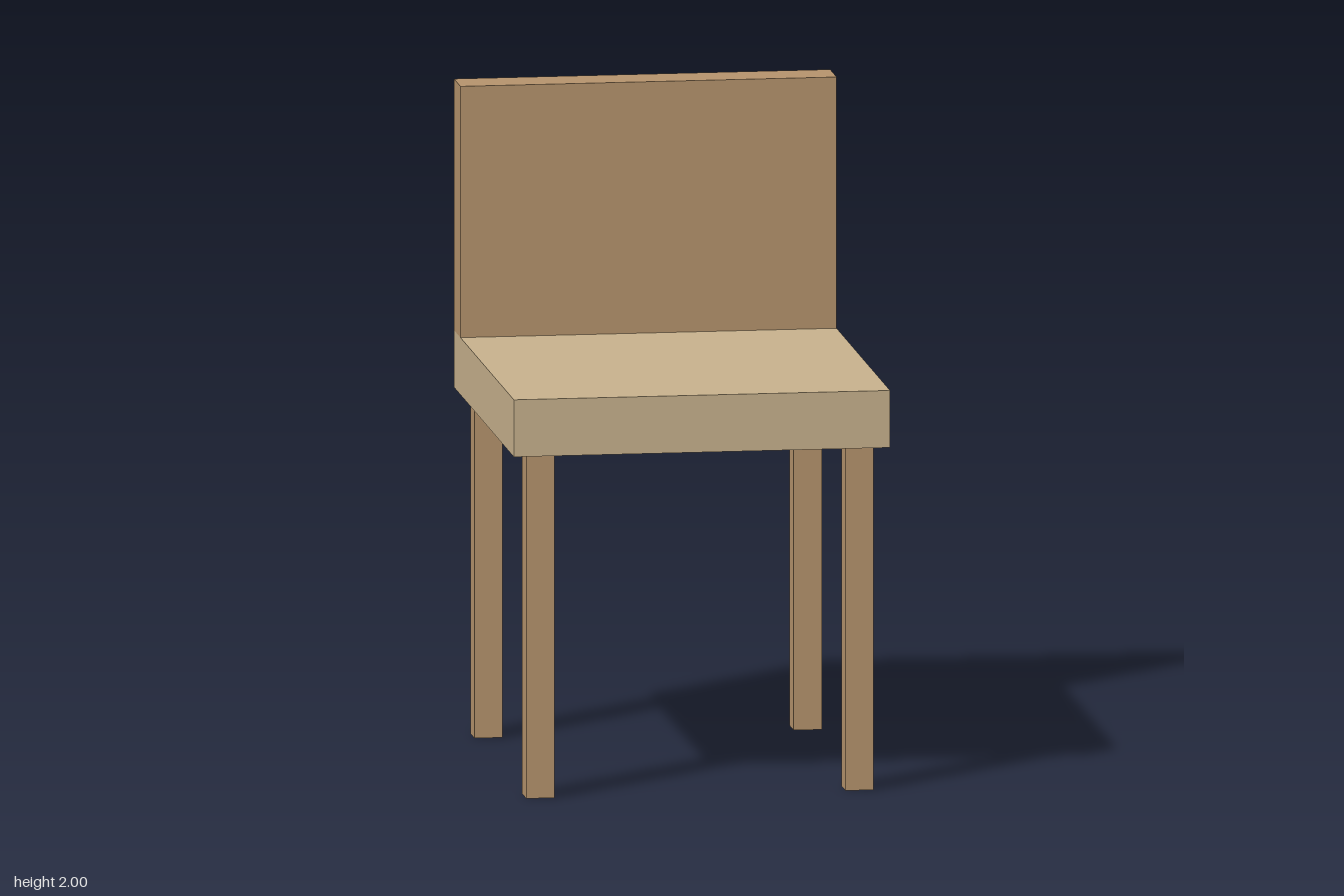
import * as THREE from 'three';

const seatMaterial = new THREE.MeshStandardMaterial({ color: 0xc8b28d });
const woodMaterial = new THREE.MeshStandardMaterial({ color: 0xb6946d });

// Box standing on height y, centred on x and z
function block(name, material, width, height, depth, x, y, z) {
  const mesh = new THREE.Mesh(new THREE.BoxGeometry(width, height, depth), material);
  mesh.name = name;
  mesh.position.set(x, y + height / 2, z);
  return mesh;
}

export function createModel() {
  const chair = new THREE.Group();
  chair.name = 'chair';

  const width = 1.148, depth = 1.248;
  const seatBottom = 1.055, seatTop = 1.23;
  const backThickness = 0.135, legSize = 0.086;

  // Seat slab
  chair.add(block('seat', seatMaterial, width, seatTop - seatBottom, depth, 0, seatBottom, 0));

  // Backrest, flush with the rear edge of the seat
  chair.add(block('backrest', woodMaterial, width, 2 - seatTop, backThickness,
    0, seatTop, -depth / 2 + backThickness / 2));

  // Four square legs, inset from the corners
  for (const [end, z] of [['front', 0.54], ['back', -0.54]]) {
    for (const [side, x] of [['Left', 0.487], ['Right', -0.487]]) {
      chair.add(block(`${end}${side}Leg`, woodMaterial, legSize, seatBottom, legSize, x, 0, z));
    }
  }

  return chair;
}
